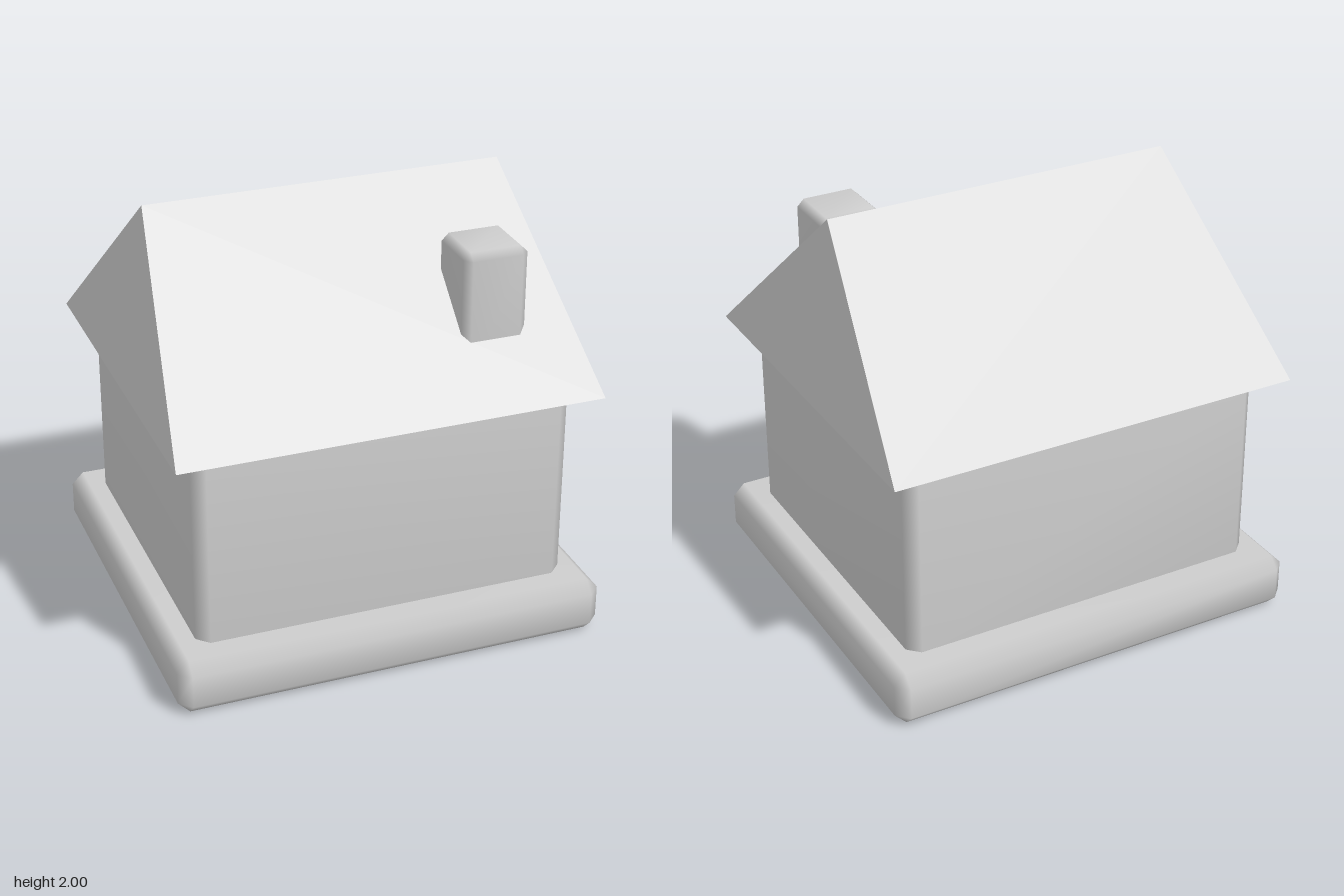
import * as THREE from 'three';
import { ConvexGeometry } from 'three/addons/geometries/ConvexGeometry.js';
import { mergeVertices } from 'three/addons/utils/BufferGeometryUtils.js';

// Box with a single 45 degree chamfer on every edge and smooth normals
function chamferBox(w, h, d, c) {
  const points = [];
  for (const x of [-1, 1]) for (const y of [-1, 1]) for (const z of [-1, 1]) {
    for (let flat = 0; flat < 3; flat++) {
      const inset = [c, c, c];
      inset[flat] = 0;
      points.push(new THREE.Vector3(
        x * (w / 2 - inset[0]), y * (h / 2 - inset[1]), z * (d / 2 - inset[2])));
    }
  }
  let geometry = new ConvexGeometry(points);
  geometry.deleteAttribute('normal');
  geometry = mergeVertices(geometry, 1e-5);
  geometry.computeVertexNormals();
  return geometry;
}

export function createModel() {
  const house = new THREE.Group();
  house.name = 'house';
  const plaster = new THREE.MeshStandardMaterial({ color: 0xcccccc });
  plaster.name = 'light grey';

  const add = (name, geometry, x = 0, y = 0, z = 0) => {
    const mesh = new THREE.Mesh(geometry, plaster);
    mesh.name = name;
    mesh.position.set(x, y, z);
    house.add(mesh);
  };

  // Foundation slab and walls
  add('foundation', chamferBox(2, 0.26, 1.87, 0.055), 0, 0.13, 0);
  add('walls', chamferBox(1.74, 0.97, 1.57, 0.055), 0, 0.695, 0);

  // Roof: eaves rectangle rising to a shorter ridge
  const roof = [];
  for (const s of [-1, 1]) {
    roof.push(new THREE.Vector3(s * 0.975, 1.18, 0.89));
    roof.push(new THREE.Vector3(s * 0.975, 1.18, -0.89));
    roof.push(new THREE.Vector3(s * 0.83, 2, 0));
  }
  add('roof', new ConvexGeometry(roof));

  // Chimney set into the front slope
  add('chimney', chamferBox(0.3, 0.6, 0.3, 0.033), 0.56, 1.53, 0.48);

  return house;
}
